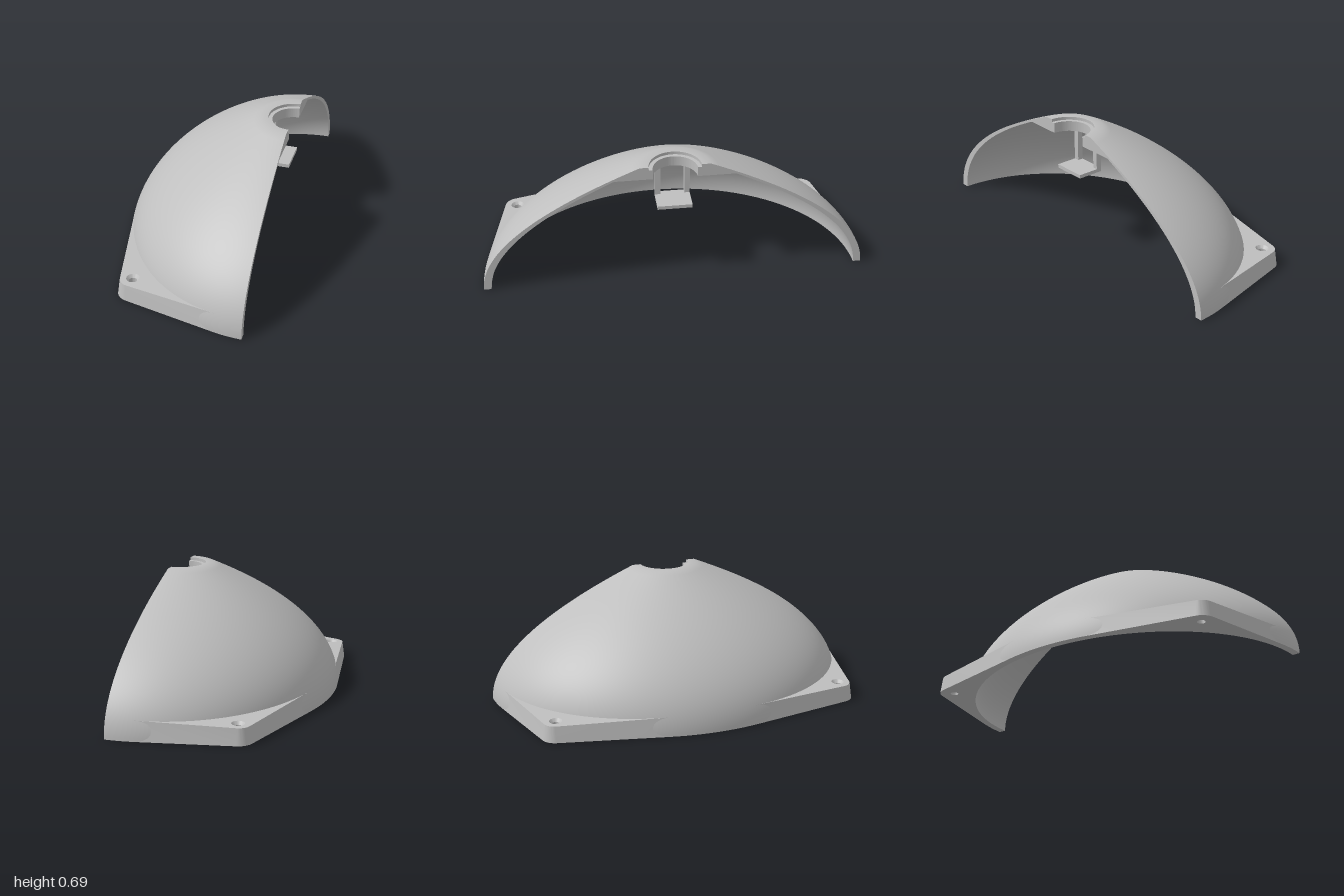
import * as THREE from 'three';
import { toCreasedNormals } from 'three/addons/utils/BufferGeometryUtils.js';

const CUT = 0.424;                 // x of the flat cut face, also the dome axis
const TOP = 0.685, CEILING = 0.615;
const SCREW = [-0.2, 0.8];         // screw hole centre (x, |z|)

const grey = new THREE.MeshStandardMaterial({ color: 0xbfbfbf });
grey.name = 'plainGrey';

function mesh(name, geometry) {
  const m = new THREE.Mesh(geometry, grey);
  m.name = name;
  return m;
}

function fromTriangles(points, crease = 0.5) {
  const g = new THREE.BufferGeometry();
  g.setAttribute('position', new THREE.Float32BufferAttribute(points.flat(), 3));
  return toCreasedNormals(g, crease);
}

// Elliptical half-axes [x, z] of the parabolic dome at height y
const outerAxes = (y) => [0.848 - 0.669 * (y / TOP) ** 2, 1 - 0.82 * (y / TOP) ** 2];
const innerAxes = (y) => [0.808 - 0.536 * (y / CEILING) ** 2, 0.96 - 0.65 * (y / CEILING) ** 2];

// Closed wall section as [x axis, z axis, y]: outside, socket, ceiling, inside
function wallSection() {
  const n = 40, section = [];
  // spaced evenly in height; the parabola is steepest at the base
  for (let i = 0; i <= n; i++) section.push([...outerAxes(TOP * i / n), TOP * i / n]);
  for (const [r, y] of [[0.134, TOP], [0.134, 0.669], [0.114, 0.669], [0.114, CEILING]]) section.push([r, r, y]);
  for (let i = n; i >= 0; i--) section.push([...innerAxes(CEILING * i / n), CEILING * i / n]);
  return section;
}

// Half dome swept around the axis
function domeGeometry(section) {
  const steps = 96, tris = [];
  const at = (i, j) => {
    const [a, b, y] = section[i % section.length];
    const t = Math.PI * (j / steps - 0.5);
    return [CUT - a * Math.cos(t), y, b * Math.sin(t)];
  };
  for (let i = 0; i < section.length; i++) {
    for (let j = 0; j < steps; j++) {
      const p = at(i, j), q = at(i, j + 1), r = at(i + 1, j + 1), s = at(i + 1, j);
      tris.push(p, q, r, p, r, s);
    }
  }
  return fromTriangles(tris);
}

// Flat face where the wall is cut, on one side
function cutFace(section, side) {
  const shape = new THREE.Shape(section.map(([, b, y]) => new THREE.Vector2(-side * b, y)));
  return new THREE.ShapeGeometry(shape).rotateY(Math.PI / 2).translate(CUT, 0, 0);
}

// Outline from dome ellipse, tangent to the rounded corner, back to the ellipse
function cornerOutline([a, b], radius) {
  const [px, pz] = SCREW;
  const ellipse = (f) => {
    const nx = Math.cos(f), nz = Math.sin(f), h = Math.hypot(a * nx, b * nz);
    return { h: CUT * nx + h, p: [CUT + a * a * nx / h, b * b * nz / h] };
  };
  const wins = [];
  for (let f = Math.PI / 2; f <= Math.PI; f += 0.001) {
    if (px * Math.cos(f) + pz * Math.sin(f) + radius > ellipse(f).h) wins.push(f);
  }
  const f0 = wins[0], f1 = wins[wins.length - 1], pts = [ellipse(f0).p];
  for (let i = 0; i <= 12; i++) {
    const f = f0 + (f1 - f0) * i / 12;
    pts.push([px + radius * Math.cos(f), pz + radius * Math.sin(f)]);
  }
  pts.push(ellipse(f1).p);
  return pts;
}

// Corner lug with tapered sides, sloping top and countersunk hole
function lugGeometry(side) {
  const bottom = cornerOutline(outerAxes(0), 0.078);
  const top = cornerOutline(outerAxes(0.103), 0.066);
  const A = top[0], B = top[top.length - 1];

  // top plane: highest along the line A-B, lower towards the corner
  const chord = ([x, z]) => ((B[0] - A[0]) * (z - A[1]) - (B[1] - A[1]) * (x - A[0]));
  const drop = 0.016 / chord(top[7]);
  const topY = (p) => 0.103 - drop * chord(p);

  // inner boundary, hidden within the dome wall
  const angle = ([x, z]) => Math.atan2(z / 0.975, (CUT - x) / 0.823);
  const t0 = angle(B), t1 = angle(A);
  for (let i = 0; i <= 24; i++) {
    const t = t0 + (t1 - t0) * i / 24;
    const p = [CUT - 0.823 * Math.cos(t), 0.975 * Math.sin(t)];
    bottom.push(p);
    top.push(p);
  }

  const circle = (r) => Array.from({ length: 28 }, (_, i) => {
    const t = i / 28 * Math.PI * 2;
    return [SCREW[0] + r * Math.cos(t), SCREW[1] + r * Math.sin(t)];
  });
  const vec = (pts) => pts.map(([x, z]) => new THREE.Vector2(x, z * side));
  const lift = (pts, y) => pts.map((p) => [p[0], typeof y === 'number' ? y : y(p), p[1] * side]);
  const tris = [];

  const cap = (outline, hole, y, up) => {
    let o = vec(outline), h = vec(hole), o3 = lift(outline, y), h3 = lift(hole, y);
    if (THREE.ShapeUtils.isClockWise(o)) { o.reverse(); o3.reverse(); }
    if (!THREE.ShapeUtils.isClockWise(h)) { h.reverse(); h3.reverse(); }
    const all = [...o3, ...h3];
    for (const [i, j, k] of THREE.ShapeUtils.triangulateShape(o, [h])) {
      tris.push(all[i], all[up ? k : j], all[up ? j : k]);
    }
  };
  const wall = (low, high, ccw) => {
    const flip = THREE.ShapeUtils.isClockWise(low.map(([x, , z]) => new THREE.Vector2(x, z))) === ccw;
    if (flip) { low.reverse(); high.reverse(); }
    for (let i = 0; i < low.length; i++) {
      const j = (i + 1) % low.length;
      tris.push(low[i], high[i], high[j], low[i], high[j], low[j]);
    }
  };

  cap(bottom, circle(0.021), 0, false);
  cap(top, circle(0.034), topY, true);
  wall(lift(bottom, 0), lift(top, topY), true);
  wall(lift(circle(0.021), 0), lift(circle(0.021), 0.075), false);
  wall(lift(circle(0.021), 0.075), lift(circle(0.034), topY), false);
  return fromTriangles(tris);
}

function box(name, x0, x1, y0, y1, z0, z1) {
  const g = new THREE.BoxGeometry(x1 - x0, y1 - y0, z1 - z0);
  const m = mesh(name, g);
  m.position.set((x0 + x1) / 2, (y0 + y1) / 2, (z0 + z1) / 2);
  return m;
}

export function createModel() {
  const model = new THREE.Group();
  model.name = 'halfDomeCover';

  // Shell with socket at the crown
  const section = wallSection();
  model.add(mesh('domeShell', domeGeometry(section)));
  for (const side of [1, -1]) {
    const label = side > 0 ? 'front' : 'back';
    model.add(mesh(label + 'CutFace', cutFace(section, side)));
    model.add(mesh(label + 'ScrewLug', lugGeometry(side)));
    // Post hanging from the ceiling
    const z = [0.062 * side, 0.09 * side].sort((p, q) => p - q);
    model.add(box(label + 'Post', 0.284, 0.312, 0.44, 0.62, z[0], z[1]));
  }

  // Small shelf under the socket
  model.add(box('shelf', 0.284, CUT, 0.426, 0.445, -0.09, 0.09));
  return model;
}
